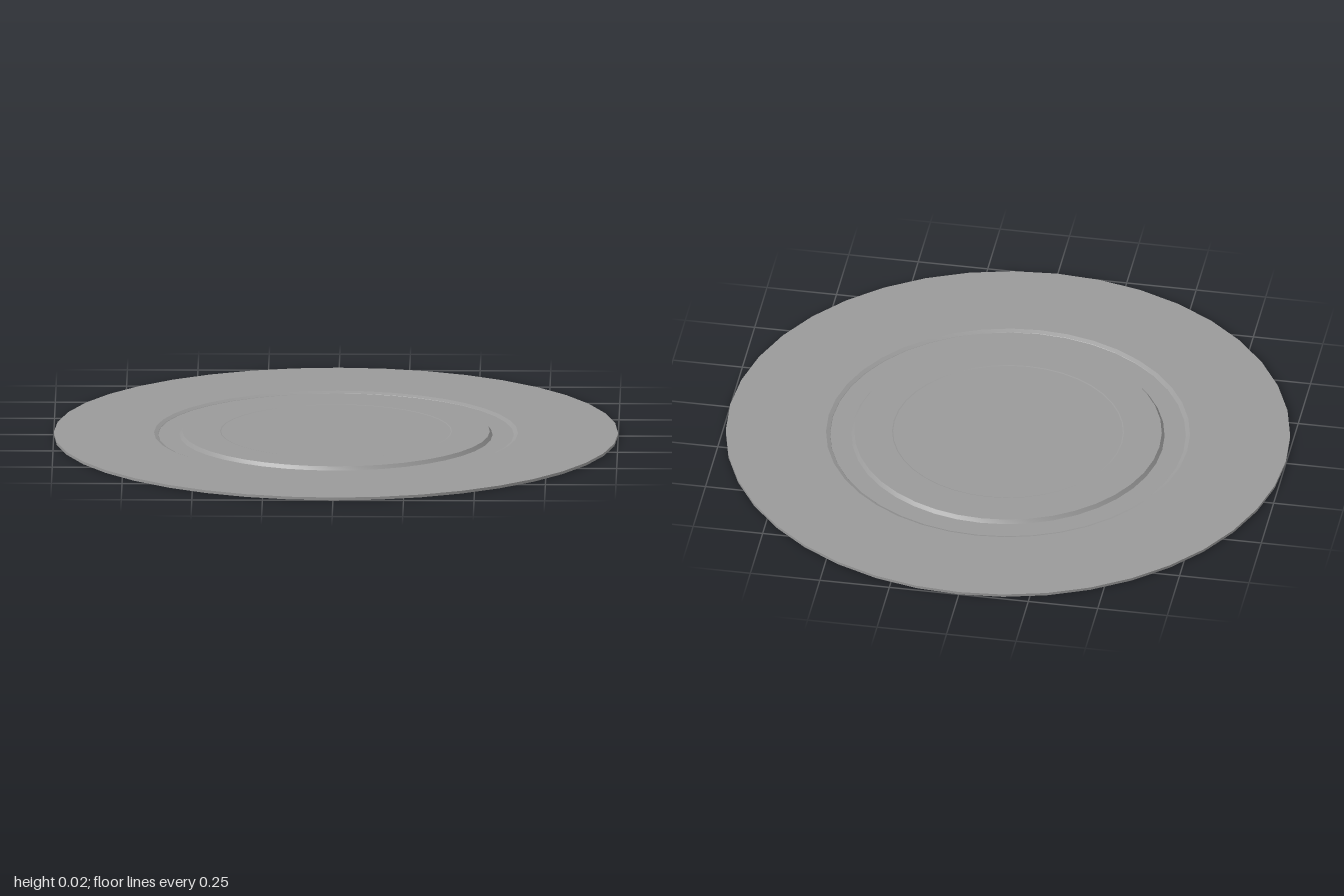
import * as THREE from 'three';
import { toCreasedNormals } from 'three/addons/utils/BufferGeometryUtils.js';

const SIDES = 40;

// Revolve a [radius, height] profile, keeping its steps sharp
function turned(name, profile) {
  const points = profile.map(([r, y]) => new THREE.Vector2(r, y));
  const geometry = toCreasedNormals(new THREE.LatheGeometry(points, SIDES), 0.2);
  const mesh = new THREE.Mesh(geometry, new THREE.MeshStandardMaterial({ color: 0x9a9a9a }));
  mesh.name = name;
  return mesh;
}

export function createModel() {
  const group = new THREE.Group();
  group.name = 'steppedDisc';

  // Wide thin disc with a shallow sunken channel around the middle
  group.add(turned('baseDisc', [
    [0, 0], [1, 0], [1, 0.01], [0.645, 0.01], [0.631, 0.004], [0.63, 0.003], [0.54, 0.003],
  ]));

  // Raised centre with a bevelled edge and a slightly dished top
  group.add(turned('raisedCentre', [
    [0.555, 0.003], [0.545, 0.016], [0.411, 0.016], [0.407, 0.015], [0, 0.015],
  ]));

  return group;
}
